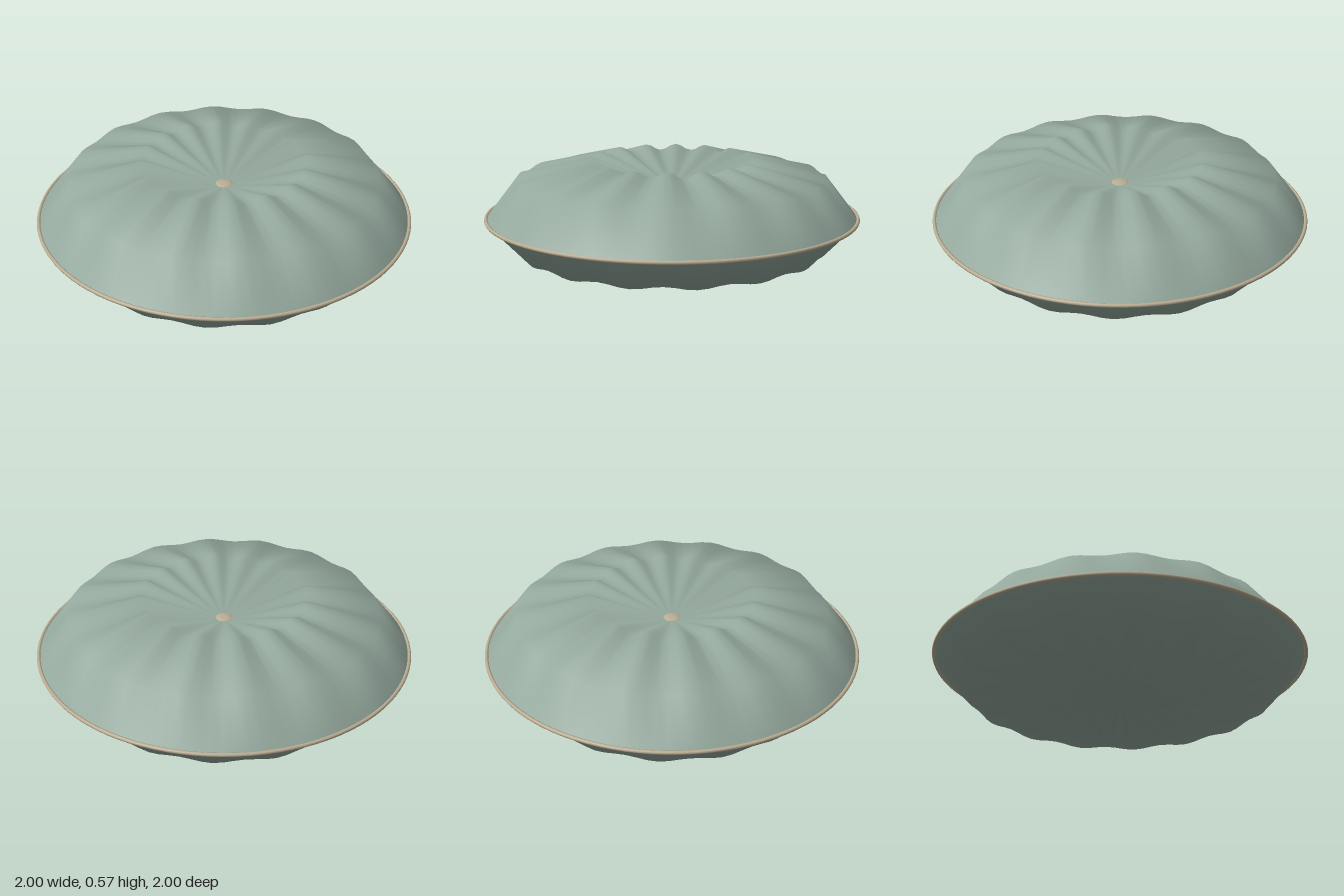
import * as THREE from 'three';
import { mergeVertices } from 'three/addons/utils/BufferGeometryUtils.js';

const RIM_Y = 0.262;
const PLEATS = 16;

// Half of the cushion: a lathed profile whose rings ripple up and down into pleats
function pleatedShell(points) {
  let geo = new THREE.LatheGeometry(points.map(([r, y]) => new THREE.Vector2(r, y)), 96);
  const p = geo.attributes.position;
  for (let i = 0; i < p.count; i++) {
    const x = p.getX(i), z = p.getZ(i), r = Math.hypot(x, z);
    // ripple is deepest on the crown and dies out at the centre and the rim
    const amp = r < 0.435 ? 0.0175 * r / 0.435
      : r < 0.82 ? THREE.MathUtils.mapLinear(r, 0.435, 0.82, 0.0175, 0.009)
        : THREE.MathUtils.mapLinear(r, 0.82, 0.985, 0.009, 0);
    p.setY(i, p.getY(i) + amp * Math.cos(PLEATS * Math.atan2(x, z)));
  }
  // weld the seam so the normals run smoothly round
  geo.deleteAttribute('uv');
  geo.deleteAttribute('normal');
  geo = mergeVertices(geo, 1e-5);
  geo.computeVertexNormals();
  return geo;
}

export function createModel() {
  const fabric = new THREE.MeshStandardMaterial({ color: 0x94a89d });
  fabric.name = 'sage fabric';
  const trim = new THREE.MeshStandardMaterial({ color: 0xbaad93 });
  trim.name = 'tan trim';

  const group = new THREE.Group();
  group.name = 'roundCushion';
  const add = (name, geo, mat, y) => {
    const mesh = new THREE.Mesh(geo, mat);
    mesh.name = name;
    mesh.position.y = y;
    group.add(mesh);
    return mesh;
  };

  // Profile as radius and height above the rim
  const profile = [[0.985, 0], [0.82, 0.206], [0.435, 0.29], [0, 0.139]];
  add('cushionTop', pleatedShell(profile), fabric, RIM_Y);
  const lower = profile.map(([r, y]) => [r, -0.845 * y]).reverse();
  add('cushionBottom', pleatedShell(lower), fabric, RIM_Y);

  // Piping round the rim
  const piping = new THREE.TorusGeometry(0.99, 0.01, 8, 96);
  piping.rotateX(Math.PI / 2);
  add('piping', piping, trim, RIM_Y);

  // Button tufted into the top
  const button = new THREE.SphereGeometry(0.05, 20, 10);
  button.scale(1, 0.3, 1);
  add('button', button, trim, RIM_Y + 0.148);

  return group;
}
